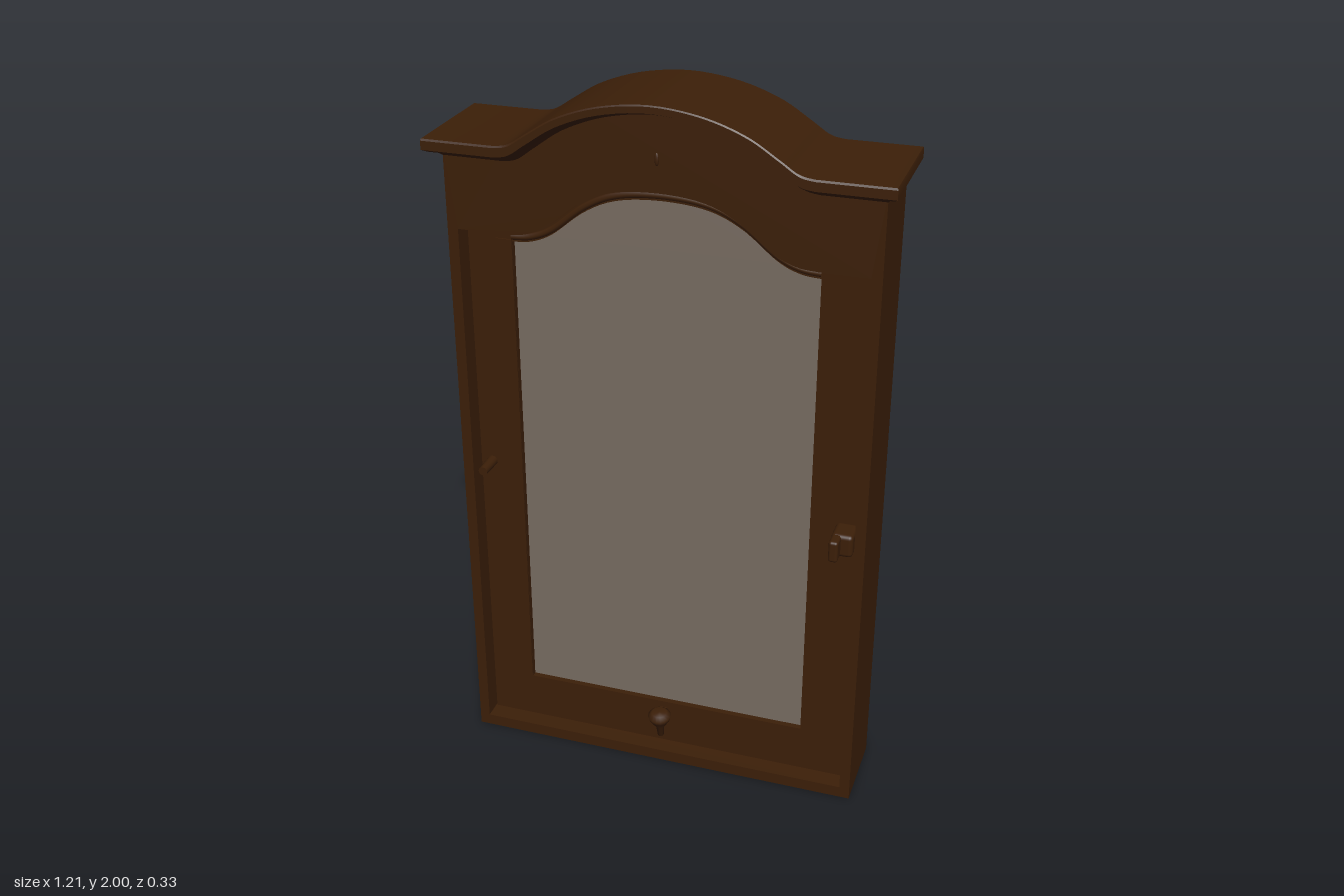
import * as THREE from 'three';
import { toCreasedNormals } from 'three/addons/utils/BufferGeometryUtils.js';
import { RoundedBoxGeometry } from 'three/addons/geometries/RoundedBoxGeometry.js';

const mat = (name, color) => {
  const m = new THREE.MeshStandardMaterial({ color });
  m.name = name;
  return m;
};

// Symmetric arch from a half profile listed from the outer end to the centre; returned left to right
function arch(half) {
  const left = half.map(([x, y]) => new THREE.Vector2(-x, y));
  const right = half.slice(0, -1).reverse().map(([x, y]) => new THREE.Vector2(x, y));
  return new THREE.SplineCurve([...left, ...right]).getPoints(48);
}

// Closed outline: flat base, straight sides, arched top
function outline(halfWidth, bottom, top, lift = 0) {
  const y = top[0].y + lift;
  return [
    new THREE.Vector2(-halfWidth, bottom), new THREE.Vector2(halfWidth, bottom),
    new THREE.Vector2(halfWidth, y),
    ...top.map((p) => new THREE.Vector2(p.x, p.y + lift)).reverse(),
    new THREE.Vector2(-halfWidth, y),
  ];
}

function slab(points, z0, z1, hole) {
  const shape = new THREE.Shape(points);
  if (hole) shape.holes.push(new THREE.Path(hole));
  const geo = new THREE.ExtrudeGeometry(shape, { depth: z1 - z0, bevelEnabled: false });
  geo.translate(0, 0, z0);
  return toCreasedNormals(geo, 0.5);
}

// Moulded crown: rings of falling height and shrinking overhang below the arched top line
function corniceGeometry(top) {
  const line = [new THREE.Vector2(-0.605, 1.86), ...top, new THREE.Vector2(0.605, 1.86)];
  const layers = [[0.95, 0], [1, 0.005], [1, 0.029], [0.7, 0.038], [0.25, 0.046], [0, 0.057]];
  const n = line.length, ring = 2 * n, pos = [], idx = [];
  for (const [o, drop] of layers) {
    const limit = 0.575 + 0.032 * o;
    const row = line.map((p) => [
      Math.abs(p.x) > 0.6 ? Math.sign(p.x) * limit : p.x,
      p.y - drop * (1 - 0.3 * (p.y - 1.86) / 0.14),
    ]);
    for (const [x, y] of row) pos.push(x, y, 0.105 + 0.059 * o);
    for (const [x, y] of row.reverse()) pos.push(x, y, -0.136 - 0.03 * o);
  }
  for (let l = 0; l < layers.length - 1; l++) {
    for (let j = 0; j < ring; j++) {
      const k = (j + 1) % ring;
      const a = l * ring + j, b = l * ring + k, c = b + ring, d = a + ring;
      idx.push(d, c, b, d, b, a);
    }
  }
  for (let j = 0; j < n - 1; j++) {
    const a = j, b = j + 1, c = ring - 2 - j, d = ring - 1 - j;
    idx.push(a, b, c, a, c, d);
  }
  const geo = new THREE.BufferGeometry();
  geo.setAttribute('position', new THREE.Float32BufferAttribute(pos, 3));
  geo.setIndex(idx);
  return toCreasedNormals(geo, 0.5);
}

export function createModel() {
  const group = new THREE.Group();
  group.name = 'archedWallCabinet';
  const wood = mat('brown wood', 0x3c1f08);
  const mirrorGrey = mat('mirror grey', 0x786c62);

  const add = (name, geo, material, x = 0, y = 0, z = 0) => {
    const mesh = new THREE.Mesh(geo, material);
    mesh.name = name;
    mesh.position.set(x, y, z);
    group.add(mesh);
    return mesh;
  };

  const crown = arch([[0.41, 1.86], [0.37, 1.868], [0.32, 1.9], [0.24, 1.948], [0.13, 1.985], [0, 2]]);
  const pane = arch([[0.414, 1.572], [0.36, 1.578], [0.3, 1.605], [0.21, 1.676], [0.12, 1.716], [0, 1.728]]);

  // Case and the fixed front surround
  const caseLine = outline(0.575, 0, crown, -0.025);
  const doorway = outline(0.546, 0.034, pane, 0.035);
  add('cabinetCase', slab(caseLine, -0.136, 0.04), wood);
  add('frontSurround', slab(caseLine, 0.04, 0.106, doorway), wood);
  add('cornice', corniceGeometry(crown), wood);

  // Recessed door with its mirror
  const opening = outline(0.414, 0.18, pane);
  add('doorFrame', slab(outline(0.539, 0.041, pane, 0.03), 0.04, 0.062, opening), wood);
  add('mirror', slab(opening, 0.04, 0.046), mirrorGrey);

  // Beading over the mirror and along one stile
  const archPath = new THREE.CatmullRomCurve3(pane.map((p) => new THREE.Vector3(p.x, p.y + 0.014, 0.06)));
  add('archBead', new THREE.TubeGeometry(archPath, 64, 0.01, 8), wood);
  add('stileBead', new THREE.BoxGeometry(0.045, 1.385, 0.005), wood, -0.437, 0.885, 0.063);

  // Latch: a block on the stile with a narrower thumb piece
  add('latch', new RoundedBoxGeometry(0.06, 0.066, 0.075, 3, 0.012), wood, 0.515, 0.852, 0.09);
  add('latchThumb', new RoundedBoxGeometry(0.026, 0.062, 0.06, 3, 0.008), wood, 0.5, 0.852, 0.134);

  // Small peg on the other stile
  const peg = add('peg', new THREE.CylinderGeometry(0.013, 0.015, 0.07, 12), wood, -0.506, 0.905, 0.096);
  peg.rotation.x = Math.PI / 2;

  // Drop pull on the bottom rail
  const pullProfile = [[0, -0.05], [0.009, -0.045], [0.012, -0.01], [0.03, 0.02], [0.034, 0.034], [0.022, 0.045], [0, 0.046]];
  const pull = add('dropPull', new THREE.LatheGeometry(pullProfile.map((p) => new THREE.Vector2(...p)), 16),
    wood, 0, 0.125, 0.096);
  pull.rotation.x = 0.15;
  add('pullStem', new THREE.BoxGeometry(0.02, 0.03, 0.045), wood, 0, 0.145, 0.08);

  // Small stud under the crown
  const stud = add('crownStud', new THREE.SphereGeometry(0.01, 12, 8), wood, 0, 1.85, 0.106);
  stud.scale.set(0.6, 1.7, 0.5);

  return group;
}
